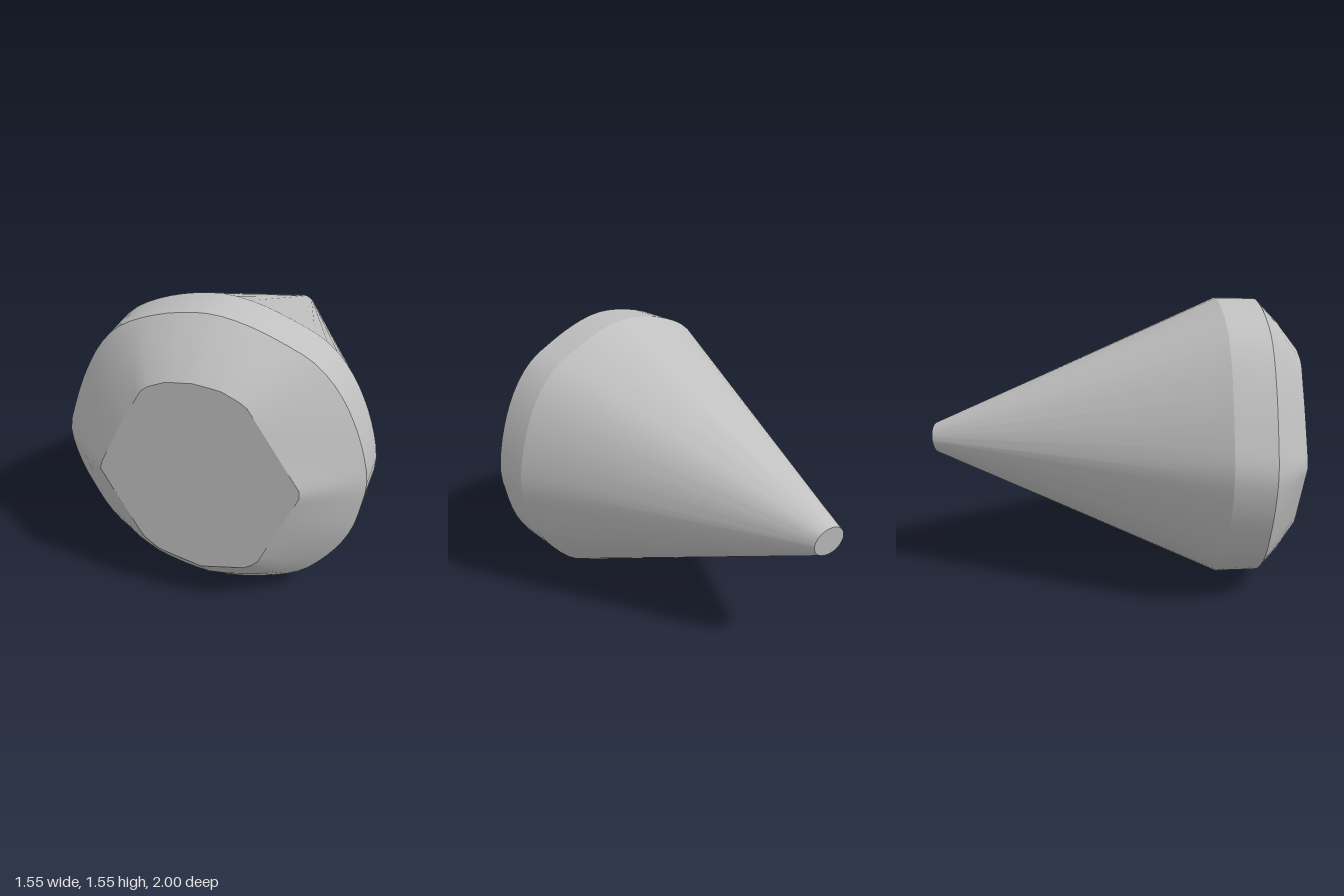
import * as THREE from 'three';
import { toCreasedNormals } from 'three/addons/utils/BufferGeometryUtils.js';

const SIDES = 72;
const CY = 0.775; // height of the long axis

// Outlines across the axis as [x, y], anticlockwise from the front
const GIRDLE = [
  [0.775, 0.78], [0.725, 1.02], [0.63, 1.23], [0.51, 1.37], [0.36, 1.45], [0.175, 1.52], [0, 1.548],
  [-0.24, 1.51], [-0.45, 1.417], [-0.555, 1.31], [-0.66, 1.125], [-0.733, 0.94], [-0.778, 0.78],
  [-0.74, 0.58], [-0.68, 0.44], [-0.596, 0.29], [-0.47, 0.165], [-0.304, 0.068], [-0.096, 0.006],
  [0.09, 0.006], [0.3, 0.06], [0.467, 0.14], [0.61, 0.29], [0.71, 0.46], [0.758, 0.646],
];
const FACE = [
  [0.51, 0.8], [0.246, 1.23], [0.13, 1.285], [0, 1.3], [-0.13, 1.285], [-0.245, 1.235], [-0.37, 1.02],
  [-0.51, 0.74], [-0.304, 0.355], [-0.22, 0.29], [0, 0.235], [0.246, 0.29], [0.3, 0.345],
];

// Radius of a polygon along a ray from the axis
function radiusAt(outline, angle) {
  const dx = Math.cos(angle), dy = Math.sin(angle);
  for (let i = 0; i < outline.length; i++) {
    const [ax, ay] = outline[i], [bx, by] = outline[(i + 1) % outline.length];
    const ex = bx - ax, ey = by - ay;
    const det = dx * ey - dy * ex;
    if (Math.abs(det) < 1e-9) continue;
    const r = (ax * ey - (ay - CY) * ex) / det;
    const s = (ax * dy - (ay - CY) * dx) / det;
    if (r > 0 && s >= -1e-6 && s <= 1 + 1e-6) return r;
  }
  return 0;
}

// A ring of points; radius and depth are functions
function makeRing(radius, depth) {
  return Array.from({ length: SIDES }, (_, i) => {
    const a = (i / SIDES) * Math.PI * 2;
    const r = radius(a);
    const x = r * Math.cos(a), y = CY + r * Math.sin(a);
    return new THREE.Vector3(x, y, depth(x, y));
  });
}

function toGeometry(points, index) {
  const g = new THREE.BufferGeometry().setFromPoints(points);
  g.setIndex(index);
  return toCreasedNormals(g, 0.5);
}

// Skin through rings ordered from front to back
function loft(rings) {
  const index = [];
  for (let k = 0; k < rings.length - 1; k++) {
    for (let i = 0; i < SIDES; i++) {
      const j = (i + 1) % SIDES;
      const a = k * SIDES + i, b = k * SIDES + j, c = a + SIDES, d = b + SIDES;
      index.push(a, c, b, b, c, d);
    }
  }
  return toGeometry(rings.flat(), index);
}

function cap(ring, facesBack) {
  const centre = new THREE.Vector3();
  ring.forEach((p) => centre.addScaledVector(p, 1 / SIDES));
  const index = [];
  for (let i = 0; i < SIDES; i++) {
    const j = (i + 1) % SIDES;
    index.push(SIDES, ...(facesBack ? [j, i] : [i, j]));
  }
  return toGeometry([...ring, centre], index);
}

export function createModel() {
  const grey = new THREE.MeshStandardMaterial({ color: 0xc0c0c0 });
  grey.name = 'grey';
  const group = new THREE.Group();
  group.name = 'cutStone';
  const add = (name, geometry) => {
    const mesh = new THREE.Mesh(geometry, grey);
    mesh.name = name;
    group.add(mesh);
  };

  // Rounded girdle outline
  const curve = new THREE.CatmullRomCurve3(GIRDLE.map(([x, y]) => new THREE.Vector3(x, y, 0)), true);
  const smooth = curve.getPoints(100).slice(0, -1).map((p) => [p.x, p.y]);
  const outer = (a) => radiusAt(smooth, a);
  const inner = (a) => radiusAt(FACE, a);
  const flat = (z) => () => z;

  const faceRing = makeRing(inner, flat(1));
  const bevelRing = makeRing((a) => (inner(a) + outer(a)) / 2 + 0.008, flat(0.895));
  const frontRing = makeRing((a) => outer(a) * 0.994, flat(0.785));
  const backRing = makeRing(outer, flat(0.57));
  // The blunt tip is cut off at a slant
  const tipRing = makeRing(flat(0.085), (x, y) => -0.972 + 0.27 * x - 0.12 * (y - CY));

  add('frontFace', cap(faceRing, false));
  add('bevel', loft([faceRing, bevelRing, frontRing]));
  add('girdle', loft([frontRing, backRing]));
  add('cone', loft([backRing, tipRing]));
  add('bluntTip', cap(tipRing, true));
  return group;
}
